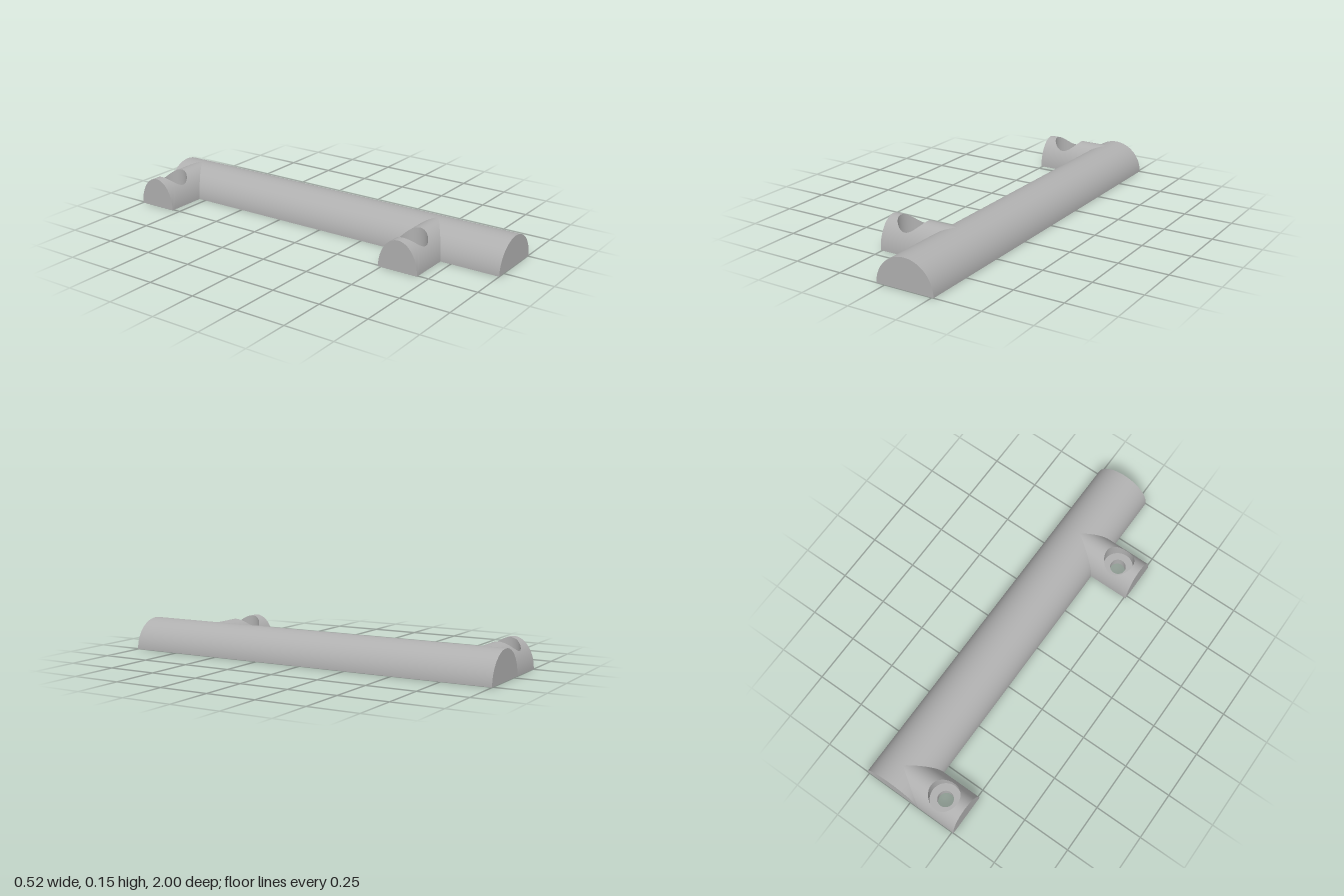
import * as THREE from 'three';

const R = 0.152;                    // bar radius and overall height
const BAR_X = 0.107;                // bar axis
const TAB_X = -0.259, TAB_HALF = 0.105;
const HOLE_X = -0.138, BORE_R = 0.077, HOLE_R = 0.04, FLOOR_Y = 0.05;
const N = 96;                       // points round each hole

const metal = new THREE.MeshStandardMaterial({ color: 0xb0b0b0 });
metal.name = 'grey';

// Skin a row of closed rings; point(i, angle) returns [x, y, z]
function loft(rings, point) {
  const pos = [], index = [];
  for (let i = 0; i < rings; i++) {
    for (let j = 0; j < N; j++) pos.push(...point(i, (j / N) * Math.PI * 2));
  }
  for (let i = 0; i < rings - 1; i++) {
    for (let j = 0; j < N; j++) {
      const k = (j + 1) % N;
      const a = i * N + j, b = a + N, c = (i + 1) * N + k, d = i * N + k;
      index.push(a, b, c, a, c, d);
    }
  }
  const geo = new THREE.BufferGeometry();
  geo.setAttribute('position', new THREE.Float32BufferAttribute(pos, 3));
  geo.setIndex(index);
  geo.computeVertexNormals();
  return geo;
}

function add(parent, name, geo) {
  const mesh = new THREE.Mesh(geo, metal);
  mesh.name = name;
  parent.add(mesh);
  return mesh;
}

// Flat half ellipse standing on y = 0, facing +z
function halfEllipse(rx, ry) {
  const shape = new THREE.Shape();
  shape.absellipse(0, 0, rx, ry, 0, Math.PI, false);
  return new THREE.ShapeGeometry(shape, 48);
}

// Map an angle onto a square of half-size 1, corners included
function square(t) {
  const c = Math.cos(t), s = Math.sin(t), m = Math.max(Math.abs(c), Math.abs(s));
  return [c / m, s / m];
}

const circle = (r, y, t) => [HOLE_X + r * Math.cos(t), y, r * Math.sin(t)];
const rimHeight = (t) => R * Math.sqrt(1 - ((BORE_R * Math.sin(t)) / TAB_HALF) ** 2);
const edgeX = (sx, right) => HOLE_X + sx * (sx > 0 ? right - HOLE_X : HOLE_X - TAB_X);

function createTab(z) {
  const tab = new THREE.Group();
  tab.name = 'mountingTab';
  tab.position.z = z;

  // Arched skin, blended from its rectangular outline to the bore rim
  const STEPS = 16;
  add(tab, 'tabArch', loft(STEPS + 1, (i, t) => {
    const k = i / STEPS, [sx, sy] = square(t);
    const x = THREE.MathUtils.lerp(edgeX(sx, BAR_X), HOLE_X + BORE_R * Math.cos(t), k);
    const rim = Math.acos((-BORE_R * Math.sin(t)) / TAB_HALF);
    const phi = THREE.MathUtils.lerp((1 + sy) * Math.PI / 2, rim, k);
    return [x, R * Math.sin(phi), -TAB_HALF * Math.cos(phi)];
  }));

  // Counterbore, its floor and the through hole
  add(tab, 'boreWall', loft(2, (i, t) => circle(BORE_R, i ? FLOOR_Y : rimHeight(t), t)));
  add(tab, 'boreFloor', loft(2, (i, t) => circle(i ? HOLE_R : BORE_R, FLOOR_Y, t)));
  add(tab, 'screwHoleWall', loft(2, (i, t) => circle(HOLE_R, i ? 0 : FLOOR_Y, t)));

  // Underside around the hole, up to the bar
  add(tab, 'tabUnderside', loft(2, (i, t) => {
    if (!i) return circle(HOLE_R, 0, t);
    const [sx, sy] = square(t);
    return [edgeX(sx, BAR_X - R), 0, sy * TAB_HALF];
  }));

  // Flat outer end
  const end = add(tab, 'tabEnd', halfEllipse(TAB_HALF, R));
  end.rotation.y = -Math.PI / 2;
  end.position.x = TAB_X;
  return tab;
}

export function createModel() {
  const model = new THREE.Group();
  model.name = 'handleRail';

  // Half-round bar
  const bar = new THREE.Group();
  bar.name = 'bar';
  bar.position.x = BAR_X;
  const arch = new THREE.CylinderGeometry(R, R, 2, 64, 1, true, Math.PI / 2, Math.PI);
  add(bar, 'barArch', arch.rotateX(Math.PI / 2));
  add(bar, 'barUnderside', new THREE.PlaneGeometry(2 * R, 2).rotateX(Math.PI / 2));
  for (const side of [1, -1]) {
    const end = add(bar, side > 0 ? 'frontEnd' : 'backEnd', halfEllipse(R, R));
    end.position.z = side;
    if (side < 0) end.rotation.y = Math.PI;
  }
  model.add(bar);

  // Two drilled tabs on the right side
  for (const z of [-0.895, 0.59]) model.add(createTab(z));
  return model;
}
